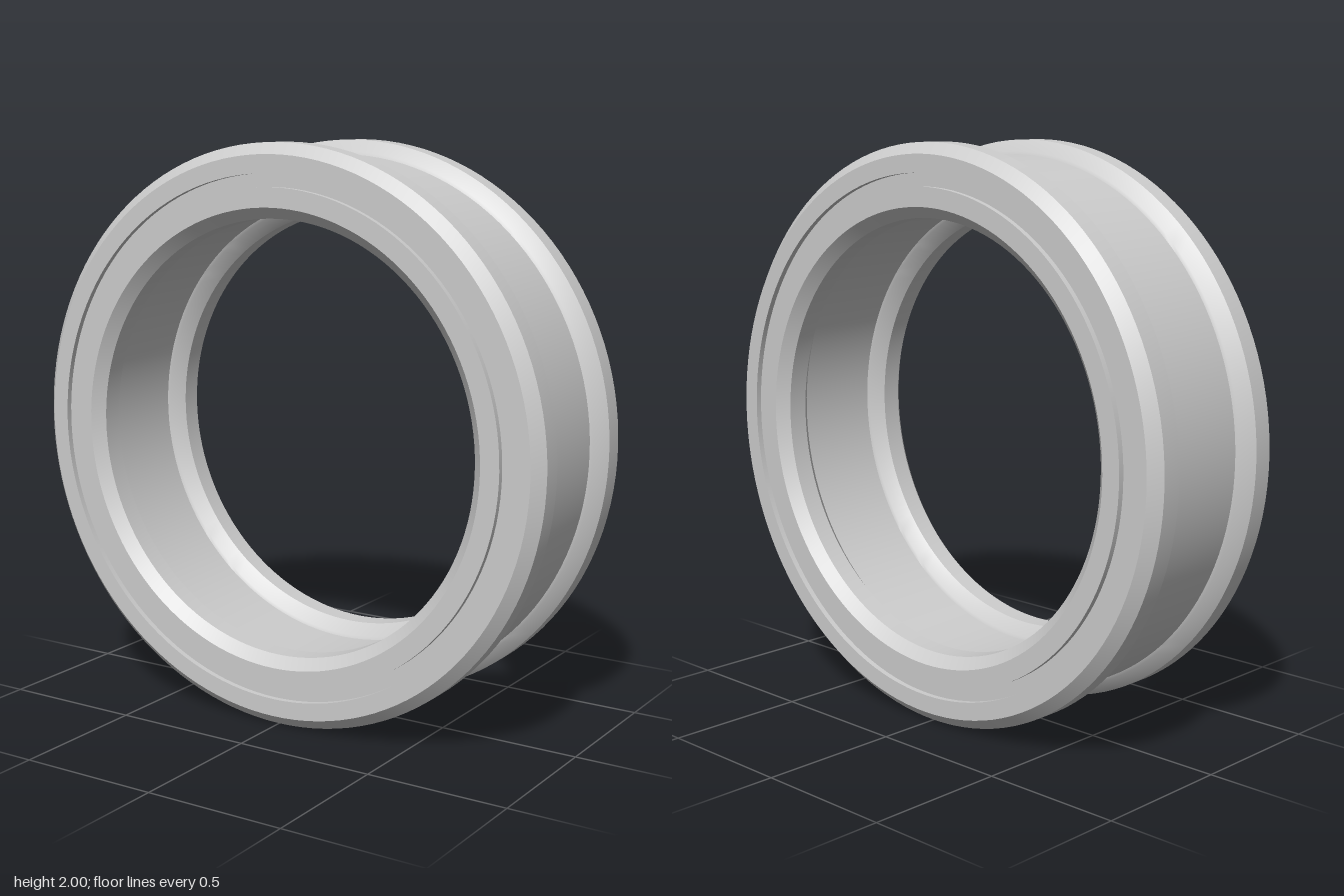
import * as THREE from 'three';
import { toCreasedNormals } from 'three/addons/utils/BufferGeometryUtils.js';

const SEGMENTS = 128;

// Revolves a closed section of [radius, z] corners about the z axis.
// Corners run counter-clockwise: forward on the outside, backward on the inside.
function ring(name, section) {
  const points = [...section, section[0]].map(([r, z]) => new THREE.Vector2(r, z));
  const lathe = new THREE.LatheGeometry(points, SEGMENTS);
  lathe.rotateX(Math.PI / 2);
  const mesh = new THREE.Mesh(
    toCreasedNormals(lathe, 0.35),
    new THREE.MeshStandardMaterial({ color: 0xcccccc })
  );
  mesh.name = name;
  return mesh;
}

// Half of a flanged sleeve wall, from the middle out to the front face
function flangeHalf(wall, lip, side) {
  return [
    [wall, 0.155],
    [lip - 0.04 * side, 0.16],
    [lip, 0.2],
    [lip, 0.272],
    [lip - 0.038 * side, 0.31]
  ];
}

const mirrorZ = (half) => half.map(([r, z]) => [r, -z]).reverse();

export function createModel() {
  const group = new THREE.Group();
  group.name = 'flangedRing';

  // Outer sleeve with chamfered flanges on its outside
  const outer = flangeHalf(0.95, 1, 1);
  group.add(ring('outerSleeve', [...mirrorZ(outer), ...outer, [0.9, 0.31], [0.9, -0.31]]));

  // Inner sleeve with matching flanges around the bore
  const inner = flangeHalf(0.8, 0.75, -1);
  group.add(ring('innerSleeve', [
    [0.855, -0.31], [0.855, 0.31],
    ...[...inner].reverse(), ...mirrorZ(inner).reverse()
  ]));

  // Slightly recessed filler between the sleeves
  group.add(ring('middleRing', [[0.9, -0.29], [0.9, 0.29], [0.855, 0.29], [0.855, -0.29]]));

  group.position.y = 1;
  const model = new THREE.Group();
  model.name = 'model';
  model.add(group);
  return model;
}
